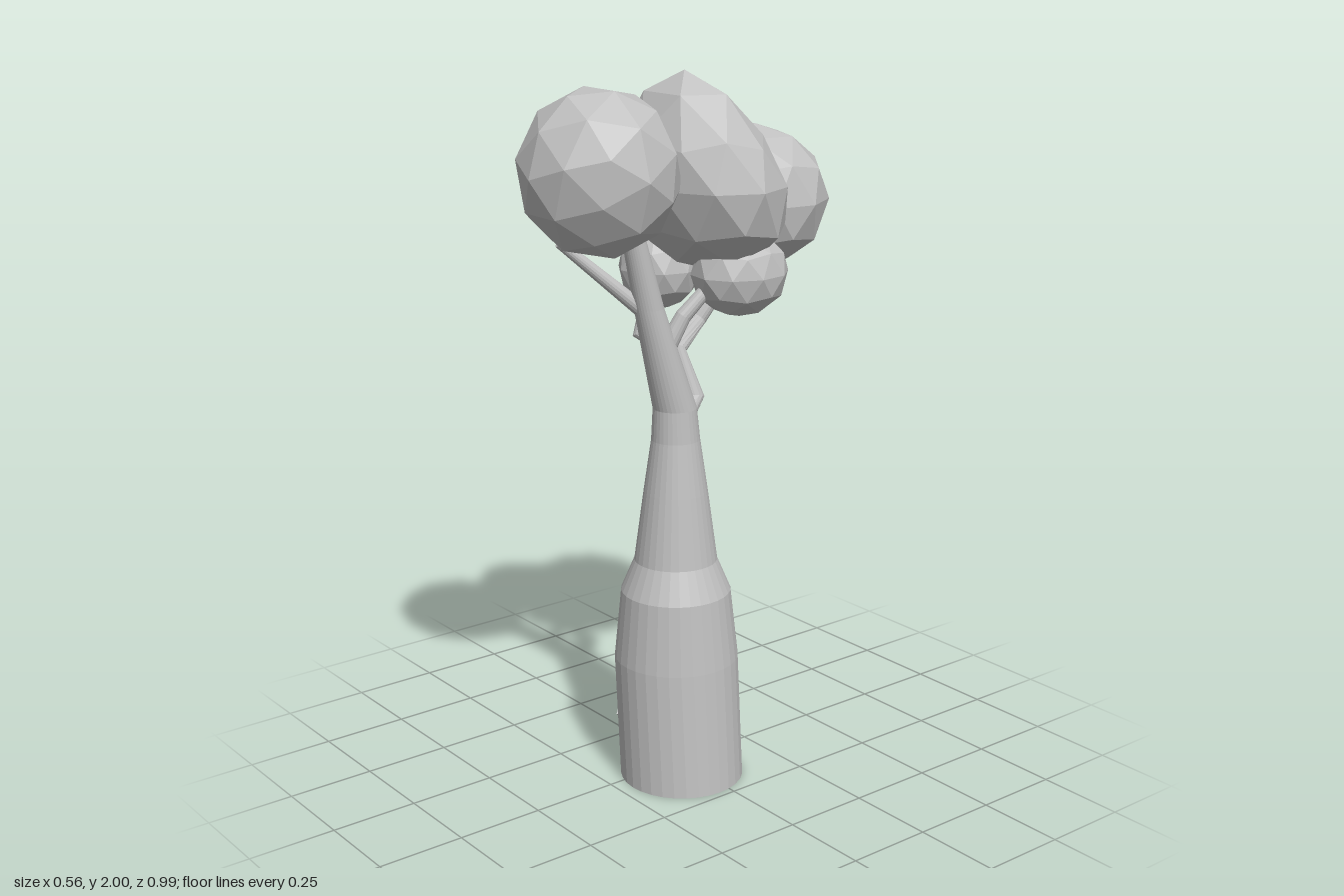
import * as THREE from 'three';

// Closed tube through rings [x, y, z, radius]; level rings stay horizontal
function loft(rings, sides, level) {
  const pos = [], idx = [];
  const pts = rings.map(r => new THREE.Vector3(r[0], r[1], r[2]));
  const up = new THREE.Vector3(0, 1, 0);
  pts.forEach((p, i) => {
    const dir = pts[Math.min(i + 1, pts.length - 1)].clone().sub(pts[Math.max(i - 1, 0)]).normalize();
    const q = new THREE.Quaternion().setFromUnitVectors(up, level ? up : dir);
    for (let k = 0; k < sides; k++) {
      const a = (k / sides) * Math.PI * 2;
      const v = new THREE.Vector3(Math.sin(a), 0, Math.cos(a)).multiplyScalar(rings[i][3]).applyQuaternion(q).add(p);
      pos.push(v.x, v.y, v.z);
    }
  });
  for (let i = 0; i < pts.length - 1; i++) {
    for (let k = 0; k < sides; k++) {
      const a = i * sides + k, b = i * sides + (k + 1) % sides;
      idx.push(a, b, b + sides, a, b + sides, a + sides);
    }
  }
  // end caps
  const last = (pts.length - 1) * sides;
  for (let k = 1; k < sides - 1; k++) {
    idx.push(0, k + 1, k, last, last + k, last + k + 1);
  }
  const g = new THREE.BufferGeometry();
  g.setAttribute('position', new THREE.Float32BufferAttribute(pos, 3));
  g.setIndex(idx);
  const flat = g.toNonIndexed();
  flat.computeVertexNormals();
  return flat;
}

// Faceted leaf clump with a corner at its top, turned about y, then tipped forward
function clump(center, radii, turn = 0, tip = 0) {
  const g = new THREE.IcosahedronGeometry(1, 1);
  g.rotateZ(-Math.atan(2 / (1 + Math.sqrt(5))));
  g.rotateY(turn);
  g.rotateX(tip);
  g.scale(...radii);
  g.translate(...center);
  g.computeVertexNormals();
  return g;
}

// Large crown: peaked above, broad below the middle, and leaning forward
function crown(center) {
  const g = clump([0, 0, 0], [1, 1, 1], 0.3);
  const p = g.attributes.position;
  for (let i = 0; i < p.count; i++) {
    const y = p.getY(i);
    const h = y > 0 ? 0.3 * Math.pow(y, 1.3) : 0.25 * y;
    const w = 1 - 0.08 * y;
    p.setXYZ(i, p.getX(i) * 0.278 * w, h, p.getZ(i) * 0.208 * w + 0.05 * y);
  }
  g.translate(...center);
  g.computeVertexNormals();
  return g;
}

export function createModel() {
  const group = new THREE.Group();
  const grey = new THREE.MeshStandardMaterial({ color: 0xc0c0c0, flatShading: true });
  grey.name = 'plain grey';
  const add = (name, geometry) => {
    const m = new THREE.Mesh(geometry, grey);
    m.name = name;
    group.add(m);
    return m;
  };

  // Bottle-shaped trunk leaning forward at the top
  add('trunk', loft([
    [0.055, 0, 0.035, 0.176],
    [0.03, 0.36, 0.035, 0.176],
    [0.03, 0.56, 0.037, 0.155],
    [0.03, 0.65, 0.037, 0.117],
    [0.03, 0.85, 0.037, 0.09],
    [0.03, 1.0, 0.037, 0.068],
    [0.03, 1.09, 0.04, 0.061],
    [0.027, 1.38, 0.125, 0.041],
    [0.028, 1.62, 0.187, 0.03],
  ], 32, true));

  // Branches
  add('backBranch', loft([
    [0, 1.05, -0.01, 0.034],
    [-0.035, 1.085, -0.072, 0.036],
    [-0.075, 1.22, -0.045, 0.03],
    [-0.165, 1.27, -0.2, 0.023],
    [-0.1, 1.5, -0.35, 0.017],
  ], 16));
  add('rightBranch', loft([
    [-0.07, 1.21, -0.045, 0.024],
    [-0.16, 1.26, 0.015, 0.022],
    [-0.16, 1.4, -0.02, 0.016],
  ], 16));
  add('leftBranch', loft([
    [0.03, 1.24, 0.085, 0.028],
    [0.055, 1.35, 0.03, 0.022],
    [0.09, 1.46, -0.07, 0.017],
  ], 16));
  add('frontBranch', loft([
    [0.02, 1.37, 0.135, 0.022],
    [-0.065, 1.57, 0.35, 0.014],
  ], 16));

  // Leaf clumps
  add('frontLeaves', clump([0.008, 1.755, 0.27], [0.218, 0.226, 0.22], 0.3, Math.PI / 2));
  add('middleLeaves', crown([0, 1.7, -0.067]));
  add('backLeaves', clump([-0.04, 1.63, -0.295], [0.222, 0.205, 0.203], 0.5));
  add('smallRightLeaves', clump([-0.163, 1.44, -0.057], [0.117, 0.12, 0.117], 0.4));
  add('smallLeftLeaves', clump([0.09, 1.455, -0.138], [0.125, 0.122, 0.142], 0.8));

  // Small bark scars low on the trunk
  for (const a of [-0.87, -2.1]) {
    const scar = add('barkScar', new THREE.IcosahedronGeometry(1, 0));
    scar.scale.set(0.045, 0.016, 0.005);
    scar.position.set(0.043 + Math.sin(a) * 0.174, 0.175, 0.035 + Math.cos(a) * 0.174);
    scar.rotation.y = a;
  }
  return group;
}
